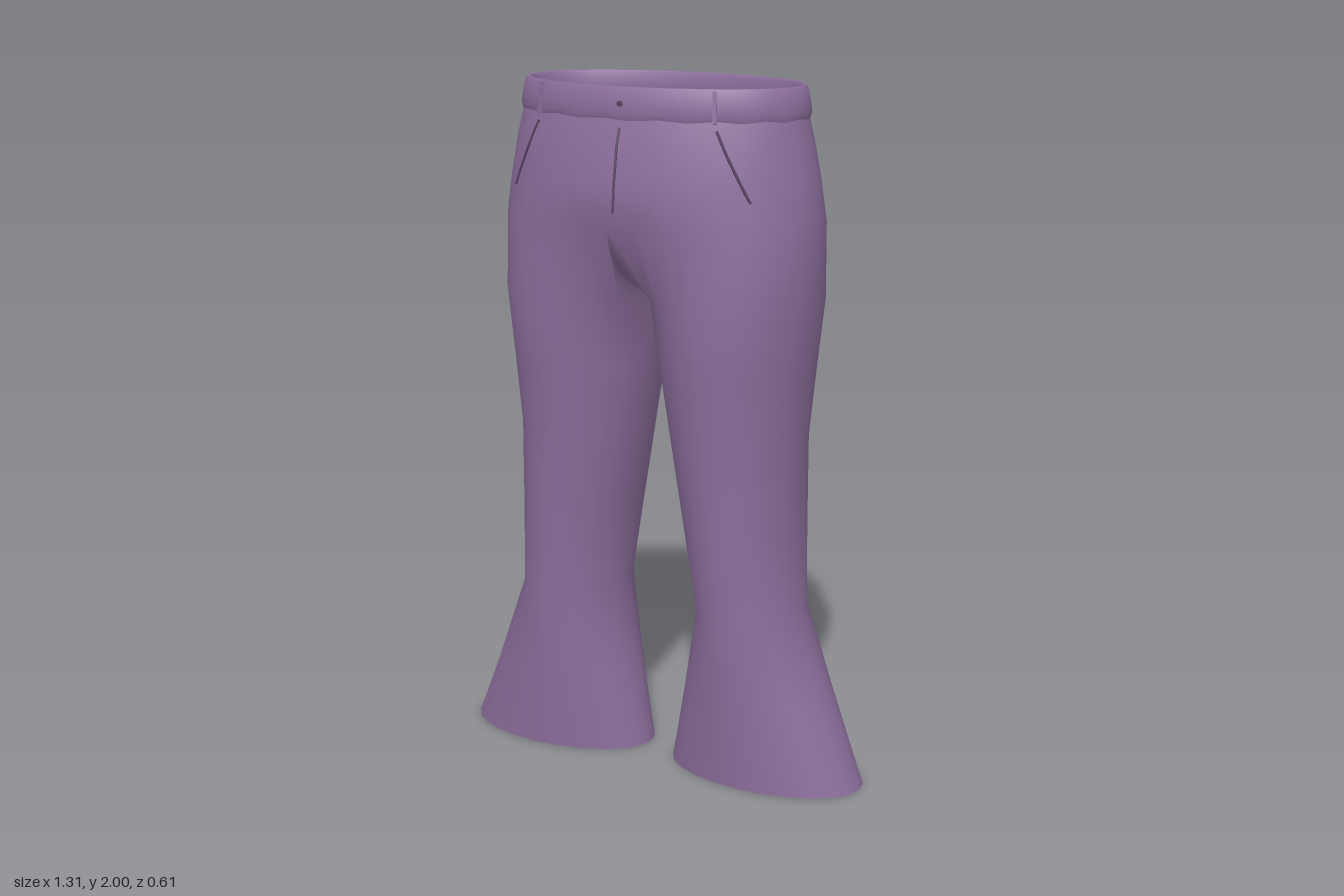
import * as THREE from 'three';
import { mergeVertices, toCreasedNormals } from 'three/addons/utils/BufferGeometryUtils.js';

// Hip sections: [y, half width, half depth]
const HIPS = [[1.95, 0.432, 0.245], [1.92, 0.44, 0.254], [1.84, 0.458, 0.278], [1.74, 0.477, 0.293], [1.62, 0.495, 0.305]];
// Leg sections: [y, inner x, outer x, half depth]
const LEG = [
  [1.4, 0, 0.485, 0.265], [1.2, 0.033, 0.462, 0.246], [1.0, 0.066, 0.441, 0.228],
  [0.75, 0.108, 0.442, 0.213], [0.5, 0.15, 0.445, 0.2], [0.25, 0.1, 0.55, 0.188], [0, 0.05, 0.655, 0.175],
];
const N = 18, M = 12; // columns on the outer side and on the inner thigh
const V = (x, y, z) => new THREE.Vector3(x, y, z);

// Join rows of points (top to bottom) into triangles
function addGrid(out, rows, mirror) {
  const put = (...pts) => {
    if (mirror) pts.reverse();
    for (const p of pts) out.push(mirror ? -p.x : p.x, p.y, p.z);
  };
  for (let r = 0; r < rows.length - 1; r++) {
    for (let i = 0; i < rows[r].length - 1; i++) {
      const a = rows[r][i], b = rows[r][i + 1], c = rows[r + 1][i], d = rows[r + 1][i + 1];
      put(a, c, b);
      put(c, d, b);
    }
  }
}

function toGeometry(positions) {
  const g = new THREE.BufferGeometry();
  g.setAttribute('position', new THREE.Float32BufferAttribute(positions, 3));
  return g;
}

// Hips and both legs as one smooth open shell
function trouserShell() {
  const hipRows = HIPS.map(([y, a, b]) => {
    const row = [];
    for (let i = 0; i <= N; i++) {
      const t = Math.PI * (0.5 - i / N);
      row.push(V(i % N ? a * Math.cos(t) : 0, y, b * Math.sin(t)));
    }
    return row;
  });

  // Saddle: half the hip ring closed by a seam dipping to the crotch
  const last = HIPS[HIPS.length - 1];
  const saddle = hipRows[hipRows.length - 1].slice();
  for (let j = 1; j <= M; j++) {
    const s = Math.PI * j / M;
    saddle.push(V(0, last[0] - 0.21 * Math.sin(s), -last[2] * Math.cos(s)));
  }

  const legRows = [saddle];
  for (const [y, inner, outer, b] of LEG) {
    const c = (inner + outer) / 2, a = (outer - inner) / 2, row = [];
    for (let i = 0; i <= N + M; i++) {
      const t = i <= N
        ? Math.PI * (0.75 - 1.5 * i / N)
        : Math.PI * (-0.75 - 0.5 * (i - N) / M);
      row.push(V(c + a * Math.cos(t), y, b * Math.sin(t)));
    }
    legRows.push(row);
  }

  const out = [];
  for (const mirror of [false, true]) {
    addGrid(out, hipRows, mirror);
    addGrid(out, legRows, mirror);
  }
  const g = mergeVertices(toGeometry(out), 1e-4);
  g.computeVertexNormals();
  return g;
}

// Hollow waistband: section runs up the inside, over the top and down the outside
function waistband() {
  const section = [
    [0.422, 0.236, 1.91], [0.418, 0.234, 1.95], [0.416, 0.232, 1.992], [0.422, 0.238, 2.0],
    [0.43, 0.246, 2.0], [0.437, 0.252, 1.99], [0.444, 0.259, 1.955], [0.448, 0.263, 1.925],
    [0.444, 0.259, 1.912], [0.422, 0.236, 1.91],
  ];
  const rows = section.map(([a, b, y]) => {
    const row = [];
    for (let i = 0; i <= 64; i++) {
      const t = -Math.PI * 2 * (i % 64) / 64;
      const wave = y < 1.92 ? 0.003 * Math.sin(16 * t) : 0;
      row.push(V(a * Math.cos(t), y + wave, b * Math.sin(t)));
    }
    return row;
  });
  const out = [];
  addGrid(out, rows, false);
  return toCreasedNormals(toGeometry(out), 0.9);
}

// Point on the front of the hips at a given x and y
function onHips(x, y) {
  let k = 0;
  while (k < HIPS.length - 2 && y < HIPS[k + 1][0]) k++;
  const [y0, a0, b0] = HIPS[k], [y1, a1, b1] = HIPS[k + 1];
  const f = (y - y0) / (y1 - y0), a = a0 + (a1 - a0) * f, b = b0 + (b1 - b0) * f;
  return V(x, y, b * Math.sqrt(1 - (x / a) ** 2));
}

function seamLine(x0, y0, x1, y1) {
  const pts = [];
  for (let i = 0; i <= 6; i++) pts.push(onHips(x0 + (x1 - x0) * i / 6, y0 + (y1 - y0) * i / 6));
  return new THREE.TubeGeometry(new THREE.CatmullRomCurve3(pts), 16, 0.004, 6);
}

export function createModel() {
  const fabric = new THREE.MeshStandardMaterial({ color: 0x8c6e9c, side: THREE.DoubleSide });
  fabric.name = 'purple fabric';
  const stitch = new THREE.MeshStandardMaterial({ color: 0x5a4665 });
  stitch.name = 'dark stitching';

  const model = new THREE.Group();
  model.name = 'flaredTrousers';
  const add = (name, geometry, material) => {
    const mesh = new THREE.Mesh(geometry, material);
    mesh.name = name;
    model.add(mesh);
    return mesh;
  };

  add('hipsAndLegs', trouserShell(), fabric);
  add('waistband', waistband(), fabric);

  // Belt loops, two in front and two behind
  for (const sx of [1, -1]) {
    for (const sz of [1, -1]) {
      const loop = add('beltLoop', new THREE.BoxGeometry(0.012, 0.088, 0.012), fabric);
      loop.position.set(0.278 * sx, 1.952, 0.202 * sz);
      loop.rotation.y = Math.atan2(0.278 / 0.19, 0.202 / 0.065) * sx * sz + (sz < 0 ? Math.PI : 0);
      loop.rotation.order = 'YXZ';
      loop.rotation.x = -0.12;
    }
    // Slanted front pocket
    add('pocketSeam', seamLine(0.285 * sx, 1.89, 0.38 * sx, 1.7), stitch);
  }

  // Fly and button
  add('flySeam', seamLine(0.016, 1.89, 0.016, 1.66), stitch);
  const button = add('button', new THREE.CylinderGeometry(0.008, 0.008, 0.008, 12), stitch);
  button.rotation.x = Math.PI / 2;
  button.position.set(0.016, 1.955, 0.26);

  return model;
}
